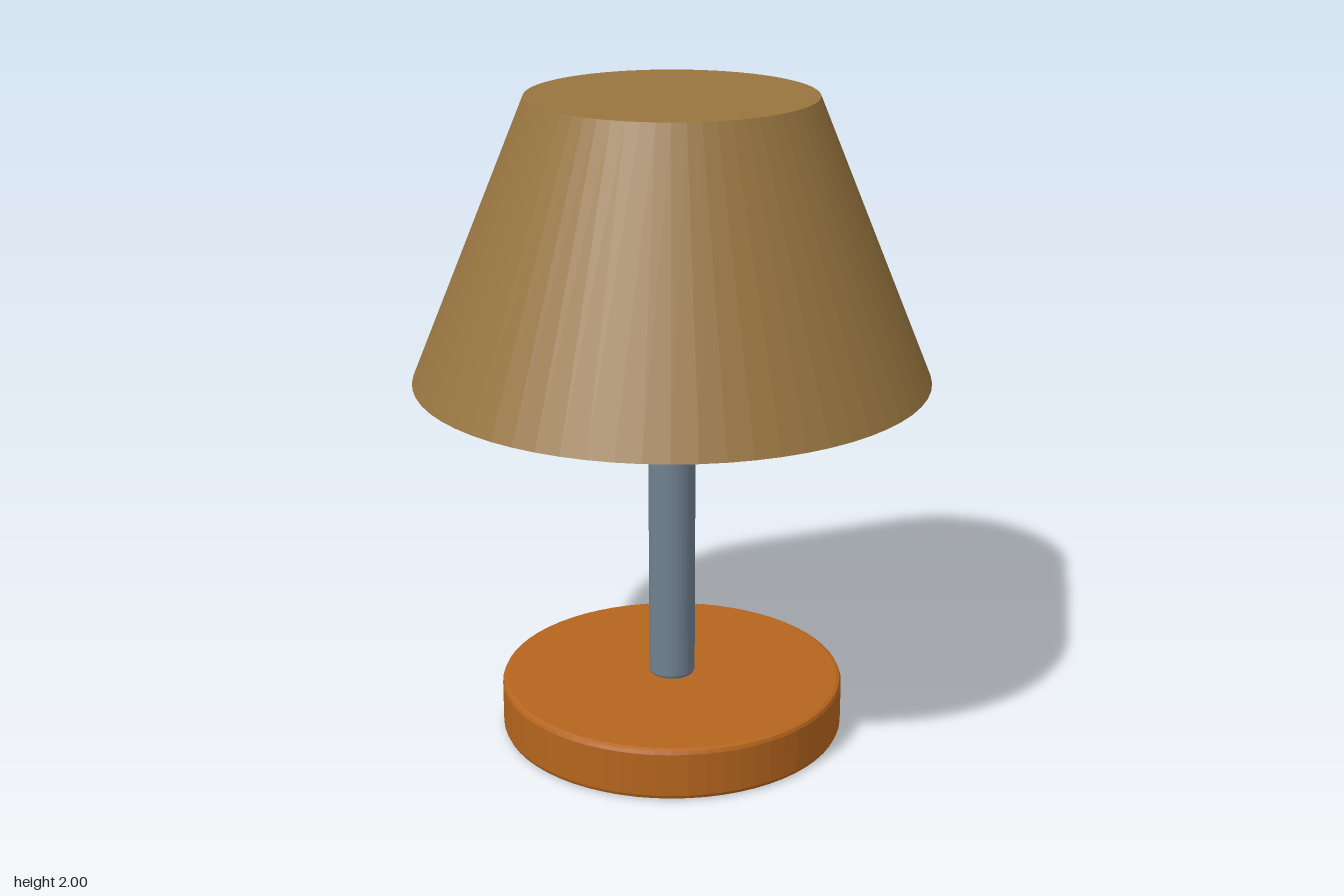
import * as THREE from 'three';

const SIDES = 64;

function material(name, color) {
  const m = new THREE.MeshStandardMaterial({ color, flatShading: true });
  m.name = name;
  return m;
}

// Solid disc or rod of revolution with small chamfers on both rims
function chamferedCylinder(radius, bottom, top, chamfer) {
  const profile = [
    [0, bottom],
    [radius - chamfer, bottom],
    [radius - chamfer * 0.3, bottom + chamfer * 0.3],
    [radius, bottom + chamfer],
    [radius, top - chamfer],
    [radius - chamfer * 0.3, top - chamfer * 0.3],
    [radius - chamfer, top],
    [0, top],
  ].map(([x, y]) => new THREE.Vector2(x, y));
  return new THREE.LatheGeometry(profile, SIDES);
}

export function createModel() {
  const lamp = new THREE.Group();
  lamp.name = 'tableLamp';

  const add = (name, geometry, mat) => {
    const mesh = new THREE.Mesh(geometry, mat);
    mesh.name = name;
    lamp.add(mesh);
    return mesh;
  };

  // Round wooden foot
  add('base', chamferedCylinder(0.535, 0, 0.165, 0.015), material('orangeWood', 0xb5651d));

  // Metal pole, running from the foot up into the shade
  add('pole', chamferedCylinder(0.072, 0.165, 1.2, 0.012), material('slateMetal', 0x708090));

  // Closed conical shade
  const shade = new THREE.CylinderGeometry(0.43, 0.78, 0.85, SIDES);
  add('shade', shade, material('tanShade', 0x987540)).position.y = 1.575;

  return lamp;
}
